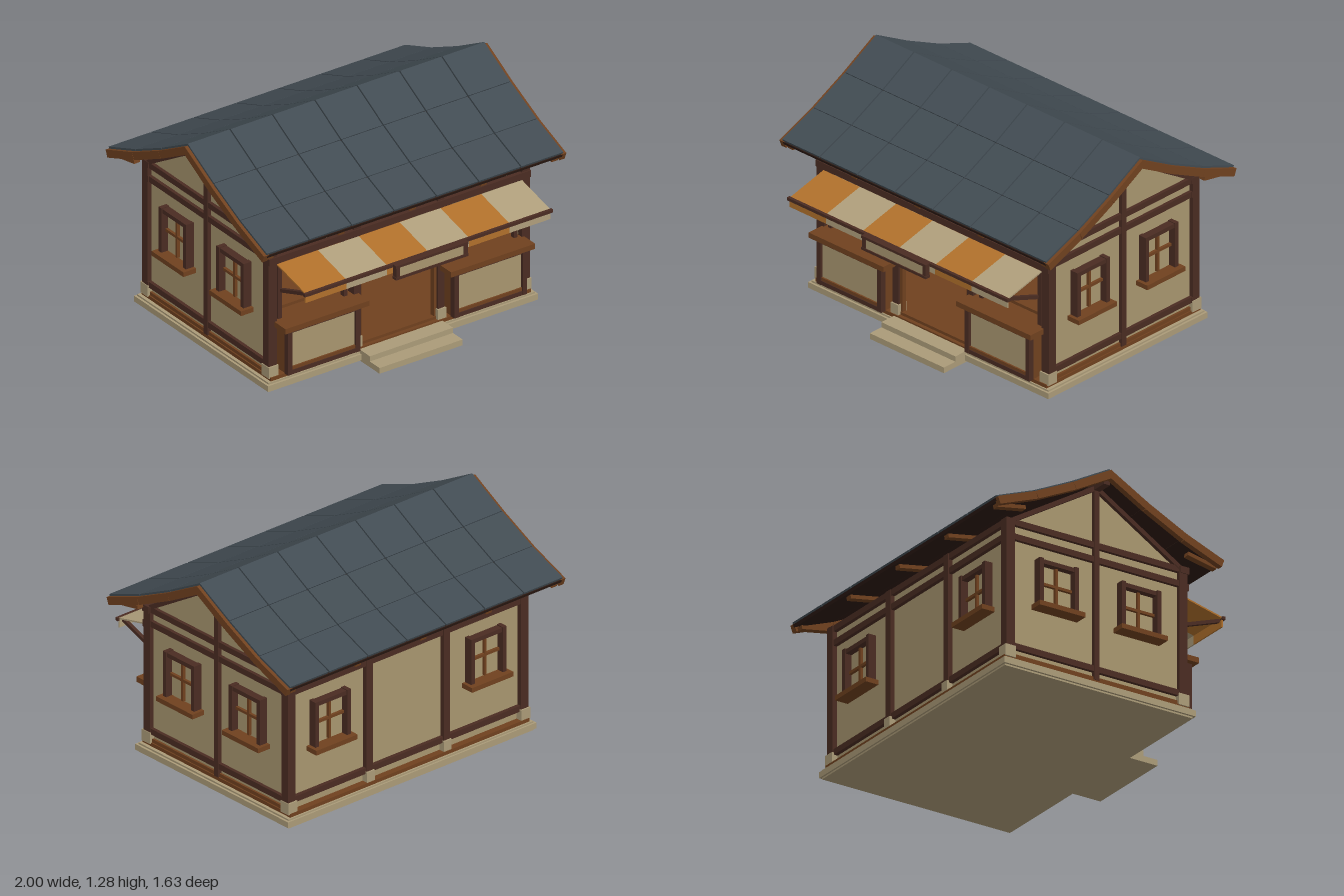
import * as THREE from 'three';

const paint = (name, color) => Object.assign(new THREE.MeshStandardMaterial({ color }), { name });

export function createModel() {
  const model = new THREE.Group();
  model.name = 'shopHouse';
  const dark = paint('dark timber', 0x4a2c22);
  const brown = paint('brown timber', 0x70411f);
  const wall = paint('plaster', 0xa8966f);
  const stone = paint('stone', 0xab9b78);
  const slate = paint('slate', 0x414b52);
  const under = paint('roof underside', 0x2c1a13);
  const orange = paint('orange cloth', 0xb0702b);
  const cream = paint('cream cloth', 0xaf9e7b);
  const C = -0.08; // z of the ridge line

  // axis-aligned box given by its limits
  function box(name, mat, x0, x1, y0, y1, z0, z1, parent = model) {
    const m = new THREE.Mesh(new THREE.BoxGeometry(Math.abs(x1 - x0), y1 - y0, Math.abs(z1 - z0)), mat);
    m.position.set((x0 + x1) / 2, (y0 + y1) / 2, (z0 + z1) / 2);
    m.name = name;
    parent.add(m);
    return m;
  }
  // sloping board whose top runs from p to q, each [z, y]
  function slab(name, mat, x0, x1, p, q, t) {
    if (p[0] > q[0]) [p, q] = [q, p];
    const dz = q[0] - p[0], dy = q[1] - p[1], L = Math.hypot(dz, dy);
    const m = new THREE.Mesh(new THREE.BoxGeometry(Math.abs(x1 - x0), t, L), mat);
    m.position.set((x0 + x1) / 2, (p[1] + q[1]) / 2 - dz / L * t / 2, (p[0] + q[0]) / 2 + dy / L * t / 2);
    m.rotation.x = -Math.atan2(dy, dz);
    m.name = name;
    model.add(m);
  }

  // base, floor and steps
  box('foundation', stone, -0.88, 0.88, 0, 0.055, -0.69, 0.53);
  box('foundationRim', stone, -0.893, 0.893, 0.01, 0.045, -0.7, 0.543);
  box('floor', brown, -0.86, 0.86, 0.055, 0.076, -0.68, 0.522);
  box('lowerStep', stone, -0.275, 0.275, 0, 0.035, 0.5, 0.71);
  box('upperStep', stone, -0.275, 0.275, 0.035, 0.067, 0.5, 0.62);

  // back wall, its posts and beams
  box('backWall', wall, -0.84, 0.84, 0.076, 0.89, -0.64, -0.61);
  for (const [y0, y1] of [[0.125, 0.16], [0.775, 0.81], [0.86, 0.895]])
    box('backBeam', dark, -0.865, 0.865, y0, y1, -0.663, -0.61);
  box('frontTopBeam', dark, -0.87, 0.87, 0.855, 0.895, 0.46, 0.515);
  box('frontLowerBeam', dark, -0.865, 0.865, 0.76, 0.8, 0.46, 0.515);
  box('frontWallBand', wall, -0.84, 0.84, 0.8, 0.855, 0.465, 0.49);
  box('threshold', brown, -0.25, 0.25, 0.076, 0.093, 0.47, 0.5);

  // window facing +z at the origin
  function makeWindow() {
    const g = new THREE.Group();
    g.name = 'window';
    box('pane', wall, -0.11, 0.11, 0.42, 0.68, 0, 0.008, g);
    box('verticalBar', brown, -0.008, 0.008, 0.43, 0.68, 0, 0.025, g);
    box('crossBar', brown, -0.11, 0.11, 0.547, 0.563, 0, 0.025, g);
    for (const s of [-1, 1]) box('frameSide', dark, s * 0.101, s * 0.127, 0.42, 0.695, 0, 0.052, g);
    box('frameTop', dark, -0.12, 0.12, 0.665, 0.69, 0, 0.046, g);
    box('sill', brown, -0.148, 0.148, 0.395, 0.423, 0, 0.083, g);
    model.add(g);
    return g;
  }

  for (const s of [-1, 1]) {
    // side wall with gable
    box('sideWall', wall, s * 0.81, s * 0.84, 0.076, 0.88, -0.64, 0.48);
    const tri = new THREE.Shape([[-0.54, 0.88], [0.54, 0.88], [0, 1.215]].map(p => new THREE.Vector2(...p)));
    const gable = new THREE.Mesh(new THREE.ExtrudeGeometry(tri, { depth: 0.03, bevelEnabled: false }), wall);
    gable.rotation.y = -Math.PI / 2;
    gable.position.set(s * 0.825 + 0.015, 0, C);
    gable.name = 'gable';
    model.add(gable);
    for (const [y0, y1] of [[0.125, 0.16], [0.775, 0.81], [0.86, 0.895]])
      box('sideBeam', dark, s * 0.81, s * 0.86, y0, y1, -0.64, 0.48);
    box('sideSkirt', brown, s * 0.82, s * 0.853, 0.076, 0.097, -0.62, 0.46);
    box('gablePost', dark, s * 0.81, s * 0.863, 0.076, 1.22, C - 0.017, C + 0.017);
    for (const d of [-1, 1])
      slab('gableRafter', dark, s * 0.81, s * 0.862, [C + d * 0.55, 0.9], [C, 1.235], 0.026);
    for (const z of [0.19, -0.345]) {
      const w = makeWindow();
      w.rotation.y = s * Math.PI / 2;
      w.position.set(s * 0.842, 0, z);
    }
    const back = makeWindow();
    back.rotation.y = Math.PI;
    back.position.set(s * 0.56, 0, -0.638);

    // posts on stone feet
    for (const [x0, x1] of [[0.81, 0.865], [0.255, 0.3]])
      for (const d of [-1, 1]) {
        box('post', dark, s * x0, s * x1, 0.076, 0.895, C + d * 0.535, C + d * 0.588);
        box('postFoot', stone, s * (x0 - 0.006), s * (x1 + 0.004), 0.07, 0.138, C + d * 0.53, C + d * 0.597);
      }
    box('doorJamb', brown, s * 0.238, s * 0.255, 0.076, 0.76, 0.465, 0.495);

    // counter and shop-window frame
    box('counterTop', brown, s * 0.27, s * 0.825, 0.372, 0.404, 0.36, 0.61);
    box('counterBody', brown, s * 0.315, s * 0.785, 0.095, 0.372, 0.47, 0.56);
    box('counterPanel', wall, s * 0.33, s * 0.77, 0.11, 0.36, 0.56, 0.568);
    for (const [x0, x1] of [[0.31, 0.34], [0.762, 0.79]])
      box('counterStile', dark, s * x0, s * x1, 0.095, 0.372, 0.55, 0.585);
    for (const [y0, y1] of [[0.095, 0.12], [0.35, 0.372]])
      box('counterRail', dark, s * 0.31, s * 0.79, y0, y1, 0.55, 0.583);
    box('counterTrim', brown, s * 0.34, s * 0.762, 0.12, 0.138, 0.56, 0.578);
    for (const x of [0.345, 0.78])
      box('openingStile', dark, s * (x - 0.012), s * (x + 0.012), 0.404, 0.76, 0.465, 0.495);
    box('openingRail', brown, s * 0.345, s * 0.78, 0.46, 0.478, 0.47, 0.49);
    slab('awningStrut', dark, s * 0.77, s * 0.792, [0.51, 0.597], [0.775, 0.692], 0.02);
  }

  // striped awning with valance, rail and blank sign
  for (let i = 0; i < 6; i++) {
    const x = -0.81 + i * 0.27, cloth = i % 2 ? cream : orange;
    slab('awningStripe', cloth, x, x + 0.27, [0.51, 0.755], [0.775, 0.692], 0.009);
    box('valanceStripe', cloth, x, x + 0.27, 0.634, 0.688, 0.766, 0.774);
  }
  box('awningRail', dark, -0.82, 0.82, 0.676, 0.694, 0.766, 0.785);
  box('signBoard', dark, -0.225, 0.225, 0.615, 0.69, 0.78, 0.803);
  box('signFace', wall, -0.21, 0.21, 0.622, 0.68, 0.803, 0.809);
  for (const [y0, y1] of [[0.608, 0.623], [0.68, 0.695]])
    box('signRail', dark, -0.24, 0.24, y0, y1, 0.78, 0.815);
  for (const s of [-1, 1]) box('signStile', dark, s * 0.212, s * 0.236, 0.608, 0.695, 0.78, 0.812);

  // swept roof: [distance from the ridge, height]
  const profile = [[0, 1.285], [0.245, 1.15], [0.49, 1.032], [0.735, 0.938]];
  for (const d of [-1, 1]) {
    for (let r = 0; r < 3; r++) {
      const at = (k, drop) => [C + d * profile[k][0], profile[k][1] - drop];
      slab('roofBoarding', under, -0.975, 0.975, at(r, 0.014), at(r + 1, 0.014), 0.018);
      for (const s of [-1, 1])
        slab('bargeBoard', brown, s * 0.965, s, at(r, 0.012), at(r + 1, 0.012), 0.045);
      const [p, q] = [at(r, 0), at(r + 1, 0)];
      const e = r < 2 ? 0.988 : 1;
      const end = [p[0] + (q[0] - p[0]) * e, p[1] + (q[1] - p[1]) * e];
      for (let c = 0; c < 7; c++) {
        const x = -0.98 + c * 0.28;
        slab('roofTile', slate, x + (c ? 0.004 : 0), x + 0.28 - (c < 6 ? 0.004 : 0), p, end, 0.016);
      }
    }
    for (const x of [-0.94, -0.47, 0, 0.47, 0.94])
      slab('eaveBracket', brown, x - 0.02, x + 0.02, [C + d * 0.53, 0.94], [C + d * 0.715, 0.905], 0.022);
  }
  box('ridgeBeam', dark, -0.96, 0.96, 1.2, 1.245, C - 0.02, C + 0.02);
  return model;
}
